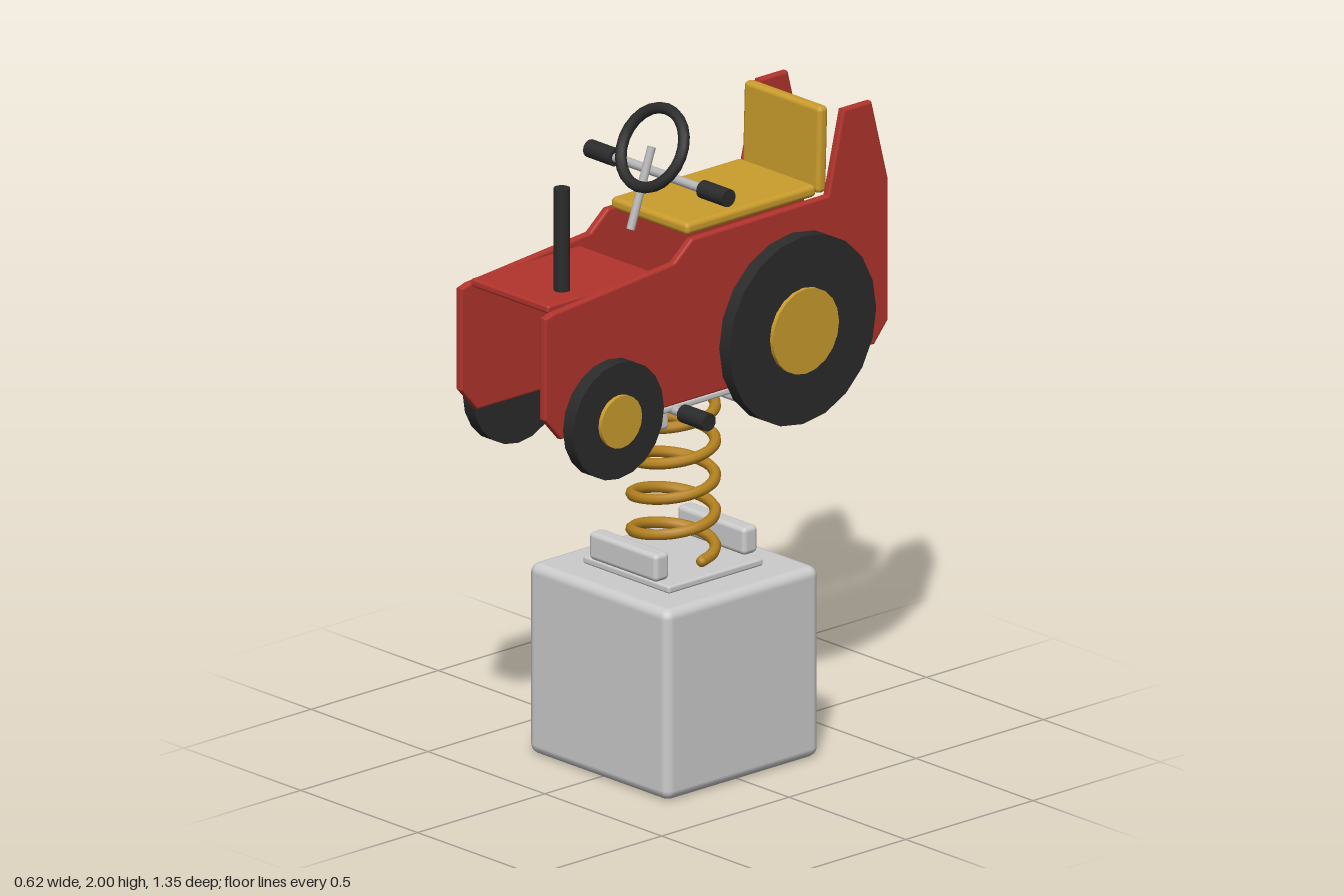
import * as THREE from 'three';
import { RoundedBoxGeometry } from 'three/addons/geometries/RoundedBoxGeometry.js';

const mat = (name, color) => Object.assign(new THREE.MeshStandardMaterial({ color }), { name });

export function createModel() {
  const red = mat('red panel', 0xb3342d);
  const yellow = mat('yellow', 0xcb9d2c);
  const gold = mat('spring gold', 0xb5821f);
  const black = mat('black rubber', 0x2b2b2b);
  const grey = mat('pale grey', 0xcccccc);
  const steel = mat('steel', 0xb8b8b8);

  const root = new THREE.Group();
  root.name = 'springTractor';

  const add = (name, geometry, material, x = 0, y = 0, z = 0) => {
    const mesh = new THREE.Mesh(geometry, material);
    mesh.name = name;
    mesh.position.set(x, y, z);
    root.add(mesh);
    return mesh;
  };
  // Rounded box given by its min and max corners
  const box = (name, material, [x0, y0, z0], [x1, y1, z1], r) =>
    add(name, new RoundedBoxGeometry(x1 - x0, y1 - y0, z1 - z0, 2, r), material,
      (x0 + x1) / 2, (y0 + y1) / 2, (z0 + z1) / 2);
  // Cylinder lying along x between two x values
  const crossCylinder = (name, material, r, x0, x1, y, z, sides = 16) => {
    const g = new THREE.CylinderGeometry(r, r, Math.abs(x1 - x0), sides).rotateZ(Math.PI / 2);
    return add(name, g, material, (x0 + x1) / 2, y, z);
  };

  // Foundation block and lower spring mount
  box('foundationBlock', grey, [-0.3, 0, -0.31], [0.3, 0.585, 0.295], 0.03);
  box('basePlate', grey, [-0.185, 0.583, -0.19], [0.185, 0.607, 0.182], 0.008);

  // Clamp blocks at the bottom and top of the spring
  for (const [y0, y1] of [[0.61, 0.695], [1.07, 1.145]]) {
    box('frontClamp', grey, [-0.145, y0, 0.14], [0.145, y1, 0.197], 0.015);
    box('rearClamp', grey, [-0.145, y0, -0.207], [0.145, y1, -0.15], 0.015);
  }
  box('topPlate', grey, [-0.165, 1.13, -0.225], [0.165, 1.152, 0.217], 0.008);

  // Coil spring
  const turns = 4.5, coil = [];
  for (let i = 0; i <= turns * 16; i++) {
    const a = (i / 16) * Math.PI * 2;
    coil.push(new THREE.Vector3(0.122 * Math.cos(a), 0.625 + (0.49 * i) / (turns * 16), -0.005 - 0.122 * Math.sin(a)));
  }
  add('spring', new THREE.TubeGeometry(new THREE.CatmullRomCurve3(coil), 180, 0.017, 8), gold);
  for (const p of [coil[0], coil[coil.length - 1]]) {
    add('springEnd', new THREE.SphereGeometry(0.017, 8, 6), gold, p.x, p.y, p.z);
  }

  // Side panel outline as [z, y]
  const outline = [
    [0.674, 1.235], [0.674, 1.545], [0.64, 1.555], [0.165, 1.597], [0.095, 1.655],
    [-0.44, 1.66], [-0.5, 1.91], [-0.61, 1.91], [-0.674, 1.66],
    [-0.674, 1.225], [-0.62, 1.162], [0.61, 1.162],
  ];
  const bevel = 0.006;
  const panelShape = new THREE.Shape(outline.map(([z, y]) => new THREE.Vector2(-z, y)));
  const panelGeometry = new THREE.ExtrudeGeometry(panelShape, {
    depth: 0.026 - 2 * bevel, bevelEnabled: true, bevelSize: bevel,
    bevelThickness: bevel, bevelOffset: -bevel, bevelSegments: 2,
  });
  panelGeometry.translate(0, 0, -0.013 + bevel).rotateY(Math.PI / 2);

  // Panels, wheels and grips on both sides
  for (const [side, s] of [['left', 1], ['right', -1]]) {
    add(side + 'Panel', panelGeometry, red, s * 0.179, 0, 0);
    for (const [end, r, hub, y, z] of [['Rear', 0.288, 0.13, 1.294, -0.297], ['Front', 0.178, 0.08, 1.188, 0.427]]) {
      crossCylinder(side + end + 'Wheel', black, r, s * 0.192, s * 0.237, y, z, 20);
      crossCylinder(side + end + 'Hub', yellow, hub, s * 0.23, s * 0.25, y, z, 20);
    }
    crossCylinder(side + 'HandGrip', black, 0.027, s * 0.187, s * 0.297, 1.797, 0.05);
    crossCylinder(side + 'FootGrip', black, 0.027, s * 0.2, s * 0.308, 1.133, 0.138);
  }

  // Cross rods
  crossCylinder('handleBar', steel, 0.014, -0.19, 0.19, 1.797, 0.05);
  crossCylinder('footBar', steel, 0.014, -0.21, 0.21, 1.133, 0.138);
  crossCylinder('frontCrossRod', steel, 0.018, -0.17, 0.17, 1.305, 0.3);
  crossCylinder('rearCrossRod', steel, 0.018, -0.17, 0.17, 1.305, -0.31);

  // Hood and exhaust pipe
  box('hood', red, [-0.167, 1.547, 0.21], [0.167, 1.572, 0.64], 0.008);
  add('exhaustPipe', new THREE.CylinderGeometry(0.024, 0.024, 0.32, 16), black, 0.087, 1.725, 0.513);

  // Seat and backrest
  box('seat', yellow, [-0.165, 1.655, -0.42], [0.165, 1.693, 0.093], 0.015);
  box('backrest', yellow, [-0.165, 1.66, -0.463], [0.165, 1.925, -0.426], 0.015).rotation.x = -0.03;

  // Steering column and wheel
  const foot = new THREE.Vector3(0, 1.652, 0.163), top = new THREE.Vector3(0, 1.885, 0.08);
  const column = add('steeringColumn', new THREE.CylinderGeometry(0.013, 0.013, foot.distanceTo(top), 12), steel);
  column.position.copy(foot).lerp(top, 0.5);
  column.quaternion.setFromUnitVectors(new THREE.Vector3(0, 1, 0), top.clone().sub(foot).normalize());
  add('steeringWheel', new THREE.TorusGeometry(0.12, 0.017, 10, 24), black, 0, 1.882, 0.077).rotation.x = -0.5;

  return root;
}
